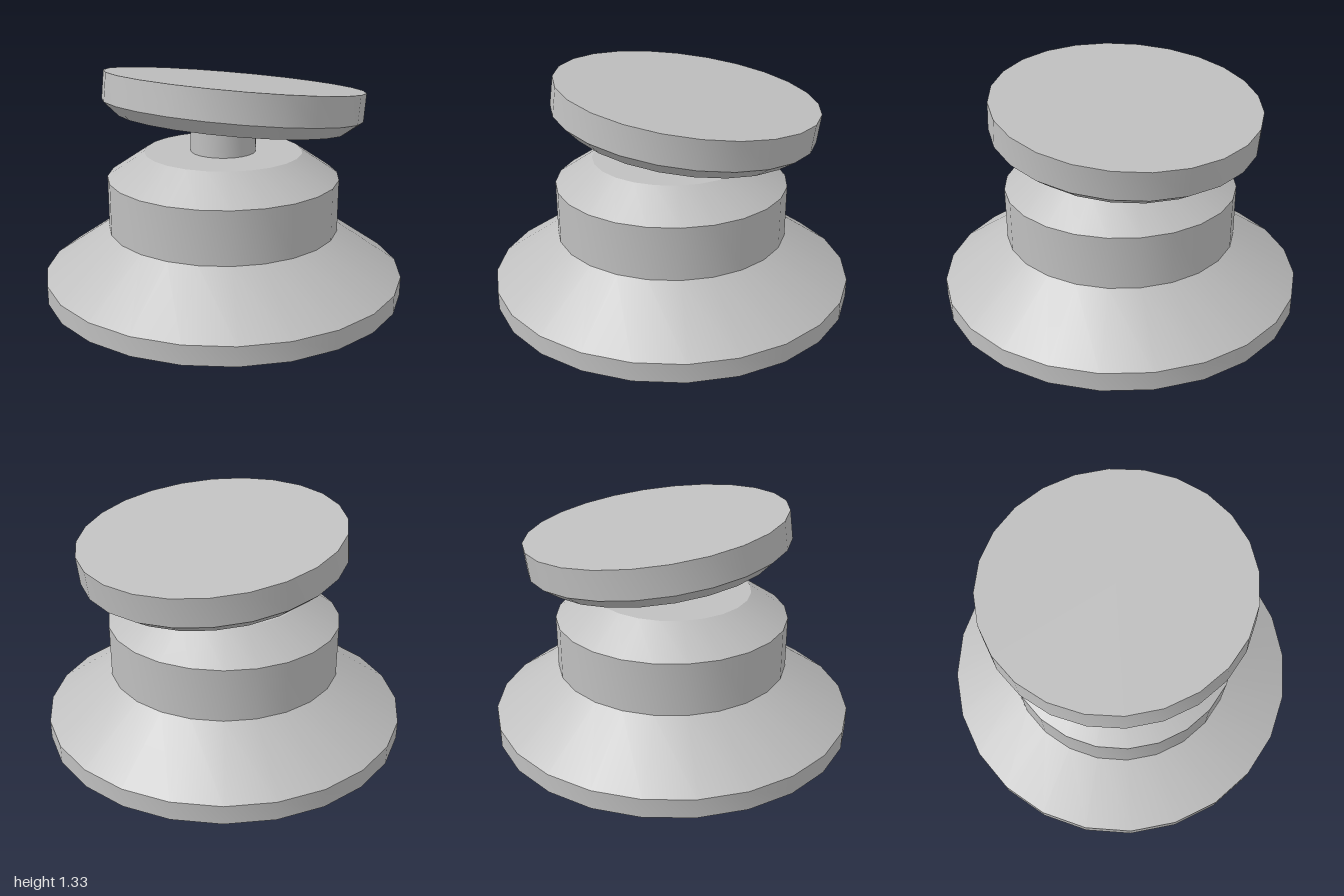
import * as THREE from 'three';
import { toCreasedNormals } from 'three/addons/utils/BufferGeometryUtils.js';

const SIDES = 24;
const gray = new THREE.MeshStandardMaterial({ color: 0xbfbfbf });
gray.name = 'plain gray';

// Revolves a bottom-to-top [radius, height] profile, smooth around and sharp at edges
function turned(name, profile) {
  const points = profile.map(([r, y]) => new THREE.Vector2(r, y));
  const geometry = toCreasedNormals(new THREE.LatheGeometry(points, SIDES), Math.PI / 6);
  const mesh = new THREE.Mesh(geometry, gray);
  mesh.name = name;
  return mesh;
}

export function createModel() {
  const model = new THREE.Group();
  model.name = 'tiltingPedestal';

  // Shallow domed underside, flared foot, drum and sloped shoulder
  const base = turned('base', [
    [0, 0], [0.5, 0.004], [0.77, 0.022], [1, 0.077], [1, 0.182],
    [0.64, 0.43], [0.64, 0.72], [0.435, 0.858], [0, 0.858],
  ]);

  // Short stem running up into the plate
  const stem = turned('stem', [[0, 0.84], [0.18, 0.84], [0.18, 1.1], [0, 1.1]]);

  // Bevelled plate, leaning back and to its left; its origin is the top centre
  const plate = turned('tiltedPlate', [
    [0, -0.225], [0.63, -0.225], [0.715, -0.155], [0.715, 0], [0, 0],
  ]);
  const up = new THREE.Vector3(0.065, 1, -0.116).normalize();
  plate.quaternion.setFromUnitVectors(new THREE.Vector3(0, 1, 0), up);
  plate.position.set(0.05, 1.234, -0.075);

  model.add(base, stem, plate);
  return model;
}
